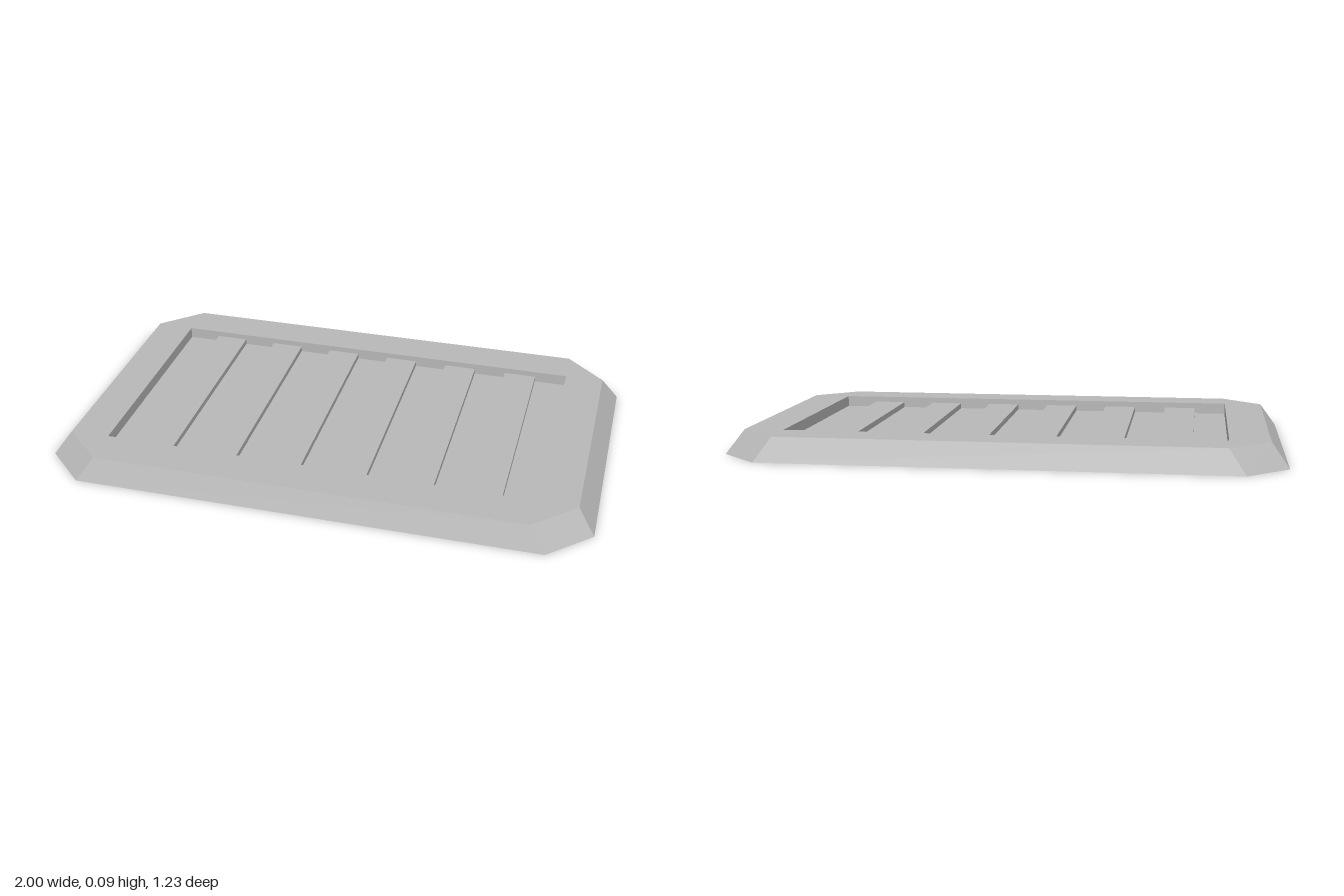
import * as THREE from 'three';
import { mergeGeometries } from 'three/addons/utils/BufferGeometryUtils.js';

const HEIGHT = 0.087, FLOOR = 0.045, SLAT_TOP = 0.066;
const OPEN_X = 0.794, OPEN_Z = 0.435, STRIPS = 13;

// Counter-clockwise octagon: half sizes w, d with corners cut back to cx, cz
const octagon = (w, d, cx, cz) => [
  [w, -cz], [w, cz], [cx, d], [-cx, d], [-w, cz], [-w, -cz], [-cx, -d], [cx, -d],
].map(([x, y]) => new THREE.Vector2(x, y));

// Wall band joining ring a at height ha to ring b at height hb
function band(a, ha, b, hb) {
  const pos = [];
  a.forEach((p, i) => {
    const j = (i + 1) % a.length;
    const a0 = [p.x, p.y, ha], a1 = [a[j].x, a[j].y, ha];
    const b0 = [b[i].x, b[i].y, hb], b1 = [b[j].x, b[j].y, hb];
    pos.push(...a0, ...a1, ...b1, ...a0, ...b1, ...b0);
  });
  const g = new THREE.BufferGeometry();
  g.setAttribute('position', new THREE.Float32BufferAttribute(pos, 3));
  g.computeVertexNormals();
  return g;
}

// Flat face at a height, with an optional hole, facing up or down
function cap(ring, h, hole, down = false) {
  const shape = new THREE.Shape(ring);
  if (hole) shape.holes.push(new THREE.Path(hole));
  const g = new THREE.ShapeGeometry(shape).toNonIndexed();
  g.deleteAttribute('uv');
  if (down) g.rotateX(Math.PI);
  return g.translate(0, 0, h);
}

export function createModel() {
  const model = new THREE.Group();
  model.name = 'ventPanel';
  const grey = new THREE.MeshStandardMaterial({ color: 0xb8b8b8 });
  grey.name = 'grey';

  function add(name, geometry) {
    const mesh = new THREE.Mesh(geometry, grey);
    mesh.name = name;
    model.add(mesh);
    return mesh;
  }

  const foot = octagon(1, 0.617, 0.85, 0.474);
  const rim = octagon(0.938, 0.58, 0.79, 0.44);
  const opening = [[1, -1], [1, 1], [-1, 1], [-1, -1]]
    .map(([x, y]) => new THREE.Vector2(x * OPEN_X, y * OPEN_Z));

  // Bevelled frame: sloping sides, top rim and underside
  add('frame', mergeGeometries([
    band(foot, 0, rim, HEIGHT),
    cap(rim, HEIGHT, opening),
    cap(foot, 0, null, true),
  ]).rotateX(-Math.PI / 2));

  // Sunken tray inside the frame
  add('recess', mergeGeometries([
    band(opening, HEIGHT, opening, FLOOR),
    cap(opening, FLOOR),
  ]).rotateX(-Math.PI / 2));

  // Raised slats on every second strip of the tray
  const step = 2 * OPEN_X / STRIPS;
  const slat = new THREE.BoxGeometry(step, SLAT_TOP - FLOOR, 2 * OPEN_Z);
  for (let i = 1; i < STRIPS; i += 2) {
    add('slat', slat).position.set(-OPEN_X + (i + 0.5) * step, (SLAT_TOP + FLOOR) / 2, 0);
  }
  return model;
}
